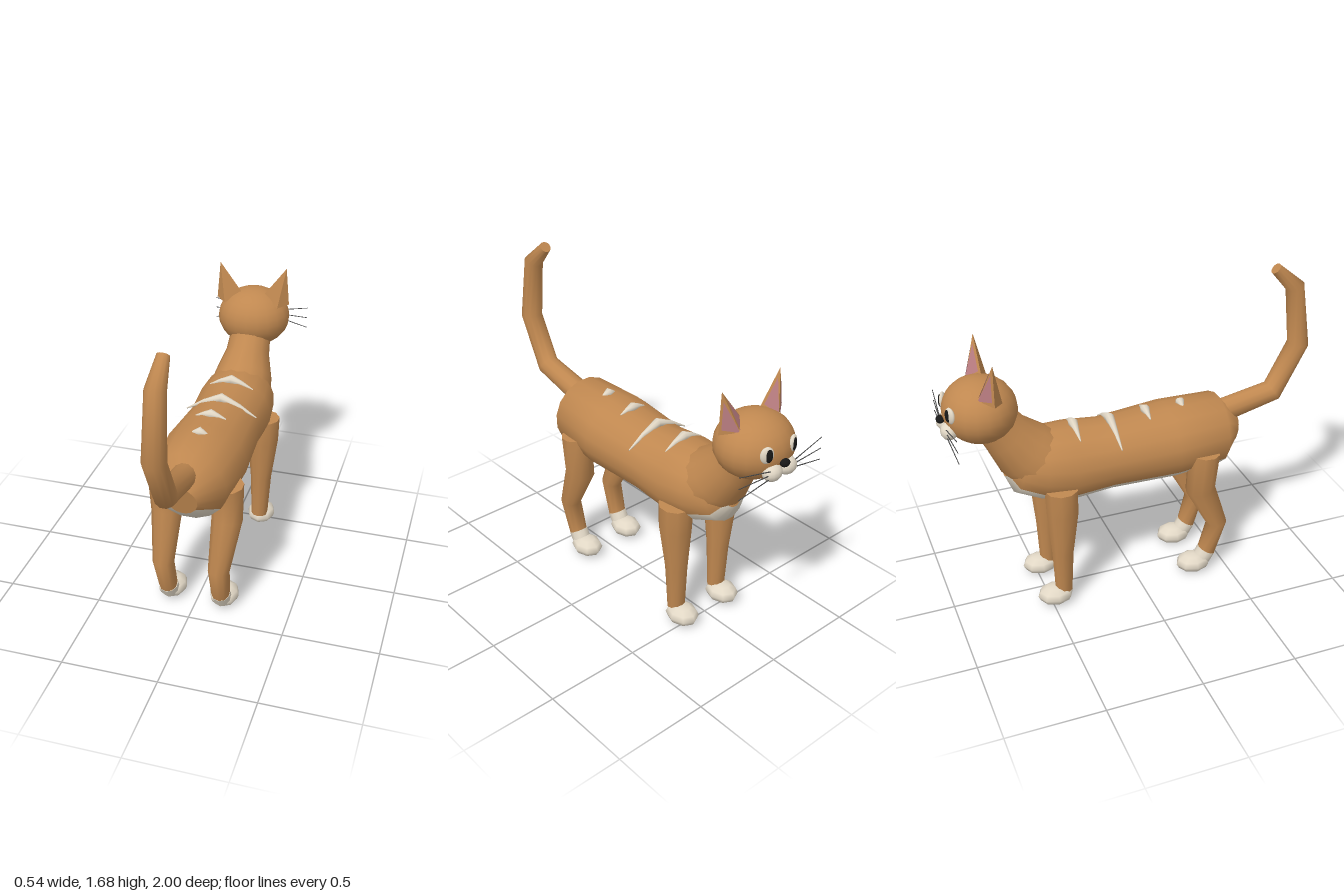
import * as THREE from 'three';

const mat = (name, color) => {
  const m = new THREE.MeshStandardMaterial({ color });
  m.name = name;
  return m;
};

// Loft through rings [x, y, z, radius, secondRadius]; 'side' is the axis of the first radius.
// isSecond(angle) picks faces for the second material group.
function loft(rings, sides, side = new THREE.Vector3(1, 0, 0), isSecond = () => false) {
  const centres = rings.map(r => new THREE.Vector3(r[0], r[1], r[2]));
  const pos = [], first = [], second = [], last = rings.length - 1;
  const ringPoints = (i) => {
    const t = centres[Math.min(i + 1, last)].clone().sub(centres[Math.max(i - 1, 0)]).normalize();
    const u = side.clone().addScaledVector(t, -side.dot(t)).normalize();
    const v = t.clone().cross(u);
    for (let j = 0; j < sides; j++) {
      const a = (j + 0.5) / sides * Math.PI * 2;
      const p = centres[i].clone()
        .addScaledVector(u, Math.cos(a) * rings[i][3])
        .addScaledVector(v, Math.sin(a) * (rings[i][4] ?? rings[i][3]));
      pos.push(p.x, p.y, p.z);
    }
  };
  rings.forEach((r, i) => ringPoints(i));
  for (let i = 0; i < last; i++) {
    for (let j = 0; j < sides; j++) {
      const k = (j + 1) % sides, a = i * sides, b = a + sides;
      const list = isSecond((j + 1) / sides * Math.PI * 2) ? second : first;
      list.push(a + j, a + k, b + k, a + j, b + k, b + j);
    }
  }
  // Flat end caps with their own vertices
  for (const i of [0, last]) {
    const base = pos.length / 3;
    ringPoints(i);
    pos.push(...centres[i].toArray());
    for (let j = 0; j < sides; j++) {
      const k = (j + 1) % sides;
      first.push(base + sides, base + (i ? j : k), base + (i ? k : j));
    }
  }
  const g = new THREE.BufferGeometry();
  g.setAttribute('position', new THREE.Float32BufferAttribute(pos, 3));
  g.setIndex([...first, ...second]);
  g.addGroup(0, first.length, 0);
  g.addGroup(first.length, second.length, 1);
  g.computeVertexNormals();
  return g;
}

function triangles(points, faces) {
  const g = new THREE.BufferGeometry();
  g.setAttribute('position', new THREE.Float32BufferAttribute(faces.flat().flatMap(i => points[i]), 3));
  g.computeVertexNormals();
  return g;
}

export function createModel() {
  const fur = mat('orange fur', 0xc08850);
  const cream = mat('cream fur', 0xe2d8c6);
  const pink = mat('ear pink', 0xb87c80);
  const black = mat('black', 0x181818);
  const grey = mat('whisker grey', 0x4a4a4a);
  const earFur = fur.clone();
  earFur.name = 'ear fur';
  earFur.side = pink.side = THREE.DoubleSide;

  const model = new THREE.Group();
  const add = (name, geometry, material) => {
    const m = new THREE.Mesh(geometry, material);
    m.name = name;
    model.add(m);
    return m;
  };
  const ball = (name, material, p, r, w = 16, h = 12) => {
    const m = add(name, new THREE.SphereGeometry(1, w, h), material);
    m.position.set(...p);
    m.scale.set(...r);
    return m;
  };

  // Torso with a cream underside
  const torso = [
    [0, 0.785, 0.58, 0.08, 0.085], [0, 0.81, 0.48, 0.2, 0.19], [0, 0.8, 0.2, 0.225, 0.2],
    [0, 0.785, -0.15, 0.2, 0.185], [0, 0.785, -0.35, 0.21, 0.205], [0, 0.805, -0.5, 0.195, 0.185],
    [0, 0.825, -0.61, 0.14, 0.16], [0, 0.84, -0.66, 0.06, 0.08],
  ];
  const underside = a => Math.abs(a - Math.PI / 2) < 0.85;
  add('body', loft(torso, 16, undefined, underside), [fur, cream]);

  add('neck', loft([
    [0, 0.81, -0.47, 0.18, 0.17], [0, 0.9, -0.58, 0.155, 0.16],
    [0, 1.0, -0.655, 0.12, 0.125], [0, 1.1, -0.72, 0.11],
  ], 14), fur);

  add('tail', loft([
    [0, 0.89, 0.48, 0.065], [0, 0.965, 0.81, 0.06], [0, 1.225, 0.945, 0.058],
    [0, 1.555, 0.9, 0.05], [0, 1.665, 0.785, 0.03],
  ], 12), fur);

  // Stripes arching over the back: [z, half width, surface top, end drop]
  const stripes = [[-0.31, 0.12, 0.995, 0.045], [-0.115, 0.19, 0.985, 0.09],
    [0.08, 0.08, 0.995, 0.02], [0.275, 0.05, 1.0, 0.015]];
  for (const [z, w, top, drop] of stripes) {
    add('backStripe', loft([
      [-w, top - drop, z, 0.003], [-w / 2, top - drop * 0.4, z, 0.013], [0, top, z, 0.025],
      [w / 2, top - drop * 0.4, z, 0.013], [w, top - drop, z, 0.003],
    ], 8, new THREE.Vector3(0, 0, 1)), cream);
  }

  ball('head', fur, [0, 1.17, -0.78], [0.2, 0.163, 0.185], 20, 14);
  ball('nose', black, [0, 1.15, -0.975], [0.027, 0.02, 0.021], 10, 8);

  for (const s of [-1, 1]) {
    const side = s > 0 ? 'left' : 'right';

    // Legs and paws
    add(side + 'FrontLeg', loft([
      [s * 0.155, 0.72, -0.43, 0.088], [s * 0.155, 0.58, -0.428, 0.084],
      [s * 0.147, 0.33, -0.432, 0.058], [s * 0.143, 0.08, -0.432, 0.046],
    ], 10), fur);
    add(side + 'HindLeg', loft([
      [s * 0.165, 0.77, 0.35, 0.083], [s * 0.16, 0.55, 0.335, 0.08],
      [s * 0.148, 0.3, 0.445, 0.056], [s * 0.143, 0.11, 0.39, 0.049],
    ], 10), fur);
    add(side + 'HindSock', loft([
      [s * 0.143, 0.12, 0.392, 0.052], [s * 0.143, 0.055, 0.355, 0.05],
    ], 10), cream);
    for (const [name, z] of [['FrontPaw', -0.48], ['HindPaw', 0.315]]) {
      ball(side + name, cream, [s * 0.143, 0.057, z], [0.078, 0.052, 0.096], 8, 6);
    }

    // Ear: leaning four-sided spike with a pink plate on each forward face
    const outer = [s * 0.205, 1.27, -0.75], inner = [s * 0.06, 1.31, -0.745];
    const rear = [s * 0.15, 1.26, -0.7], front = [s * 0.125, 1.28, -0.81], tip = [s * 0.187, 1.48, -0.745];
    add(side + 'Ear', triangles([outer, rear, inner, front, tip],
      [[0, 1, 4], [1, 2, 4], [2, 3, 4], [3, 0, 4]].map(f => (s > 0 ? [f[1], f[0], f[2]] : f))), earFur);
    const lining = [inner, outer].flatMap((corner) => {
      const tri = [corner, front, tip].map(p => new THREE.Vector3(...p));
      const mid = tri[0].clone().add(tri[1]).add(tri[2]).divideScalar(3);
      const n = tri[1].clone().sub(tri[0]).cross(tri[2].clone().sub(tri[0])).normalize();
      if (n.z > 0) n.negate();
      return tri.map((p, i) => p.lerp(mid, i === 1 ? 0 : 0.35).addScaledVector(n, 0.004).toArray());
    });
    add(side + 'EarLining', triangles(lining, s > 0 ? [[0, 2, 1], [3, 4, 5]] : [[0, 1, 2], [3, 5, 4]]), pink);

    // Eye, pupil and muzzle pad
    const eye = ball(side + 'Eye', cream, [s * 0.085, 1.205, -0.94], [0.034, 0.043, 0.016]);
    const pupil = ball(side + 'Pupil', black, [s * 0.083, 1.205, -0.952], [0.019, 0.034, 0.009], 12, 8);
    eye.rotation.y = pupil.rotation.y = -s * 0.4;
    ball(side + 'MuzzlePad', cream, [s * 0.048, 1.105, -0.945], [0.053, 0.043, 0.043], 12, 8);

    // Whiskers fanning out from the muzzle
    for (const k of [-1, 0, 1]) {
      add(side + 'Whisker', loft([
        [s * 0.06, 1.11 + k * 0.015, -0.965, 0.003], [s * 0.27, 1.11 + k * 0.06, -0.953, 0.002],
      ], 5, new THREE.Vector3(0, 0, 1)), grey);
    }
  }
  return model;
}
